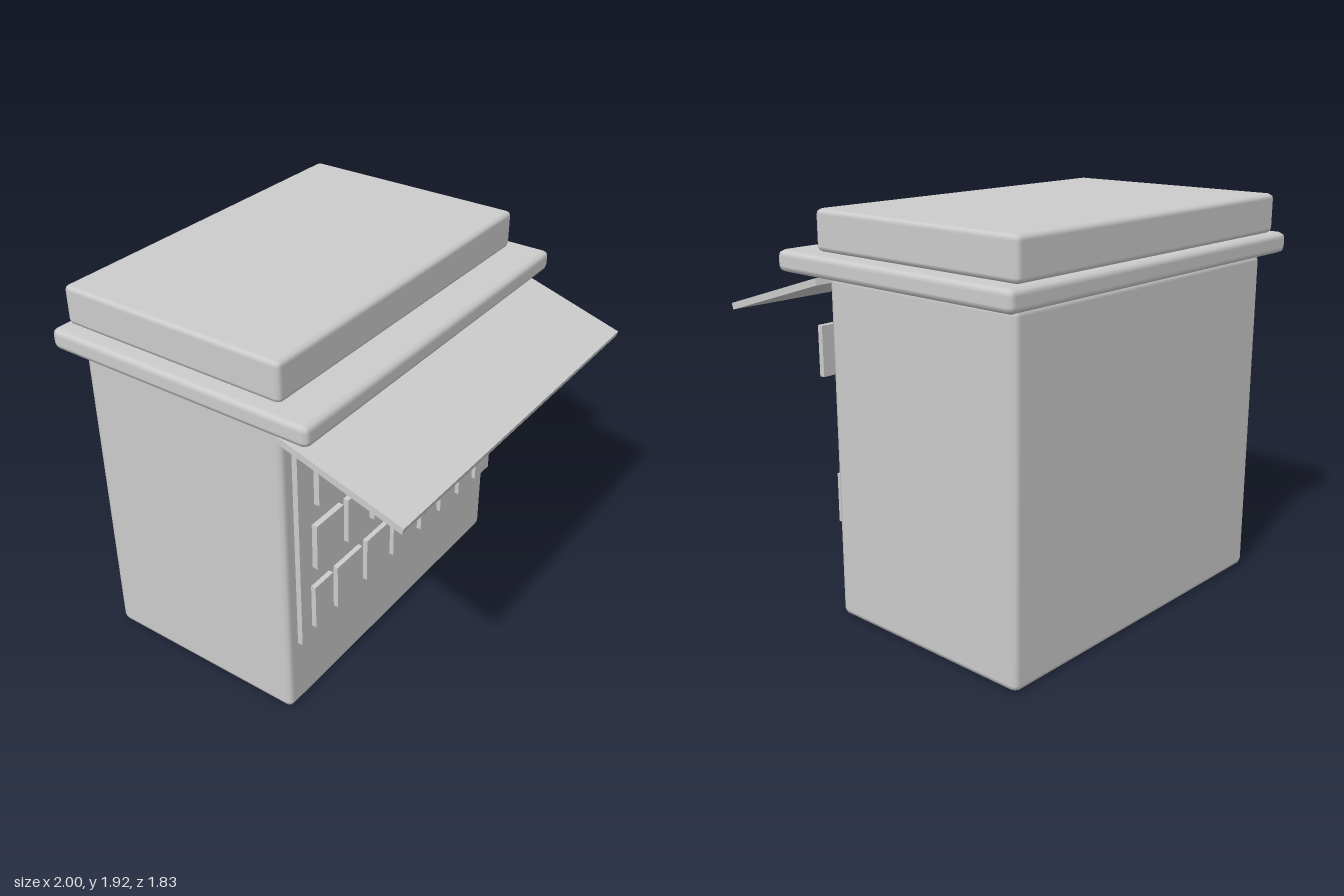
import * as THREE from 'three';
import { RoundedBoxGeometry } from 'three/addons/geometries/RoundedBoxGeometry.js';

const stone = new THREE.MeshStandardMaterial({ color: 0xcccccc });
stone.name = 'light grey';

// Box given by its [min, max] extents; a bevel rounds its edges.
function block(name, [x0, x1], [y0, y1], [z0, z1], bevel = 0) {
  const size = [x1 - x0, y1 - y0, z1 - z0];
  const geometry = bevel
    ? new RoundedBoxGeometry(...size, 1, bevel)
    : new THREE.BoxGeometry(...size);
  const mesh = new THREE.Mesh(geometry, stone);
  mesh.name = name;
  mesh.position.set((x0 + x1) / 2, (y0 + y1) / 2, (z0 + z1) / 2);
  return mesh;
}

// Display rows: base height, back depth, and [left edge, width] of each item.
const rows = [
  { y: 0.445, z: 0.292, items: [[-0.745, 0.135], [-0.575, 0.2], [-0.335, 0.195], [-0.105, 0.215],
    [0.15, 0.15], [0.34, 0.145], [0.525, 0.135], [0.7, 0.145]] },
  { y: 0.8, z: 0.307, items: [[-0.745, 0.2], [-0.51, 0.17], [-0.3, 0.14], [-0.125, 0.205],
    [0.115, 0.16], [0.32, 0.16], [0.515, 0.185]] },
  { y: 1.158, z: 0.323, items: [[-0.745, 0.15], [-0.555, 0.17], [-0.35, 0.185], [-0.13, 0.2],
    [0.115, 0.145], [0.3, 0.205], [0.545, 0.135], [0.715, 0.18]] },
];

export function createModel() {
  const kiosk = new THREE.Group();
  kiosk.name = 'kiosk';

  // Cabin and stepped roof
  kiosk.add(
    block('cabin', [-0.89, 0.89], [0, 1.632], [-0.84, 0.268], 0.03),
    block('roofEave', [-1, 1], [1.635, 1.736], [-0.915, 0.49], 0.03),
    block('roofCap', [-0.925, 0.925], [1.736, 1.925], [-0.88, 0.303], 0.025),
    block('displayPanel', [-0.82, 0.815], [0.377, 1.56], [0.262, 0.295]),
  );

  // Sloping awning
  const awning = block('awning', [-0.96, 0.96], [1.496, 1.528], [0.255, 0.925]);
  awning.rotation.x = 0.3;
  kiosk.add(awning);

  // Items on display
  rows.forEach(({ y, z, items }, i) => {
    const row = new THREE.Group();
    row.name = `displayRow${i + 1}`;
    for (const [x, w] of items) {
      row.add(block('displayItem', [x, x + w], [y, y + 0.238], [z, z + 0.028]));
    }
    kiosk.add(row);
  });

  return kiosk;
}
